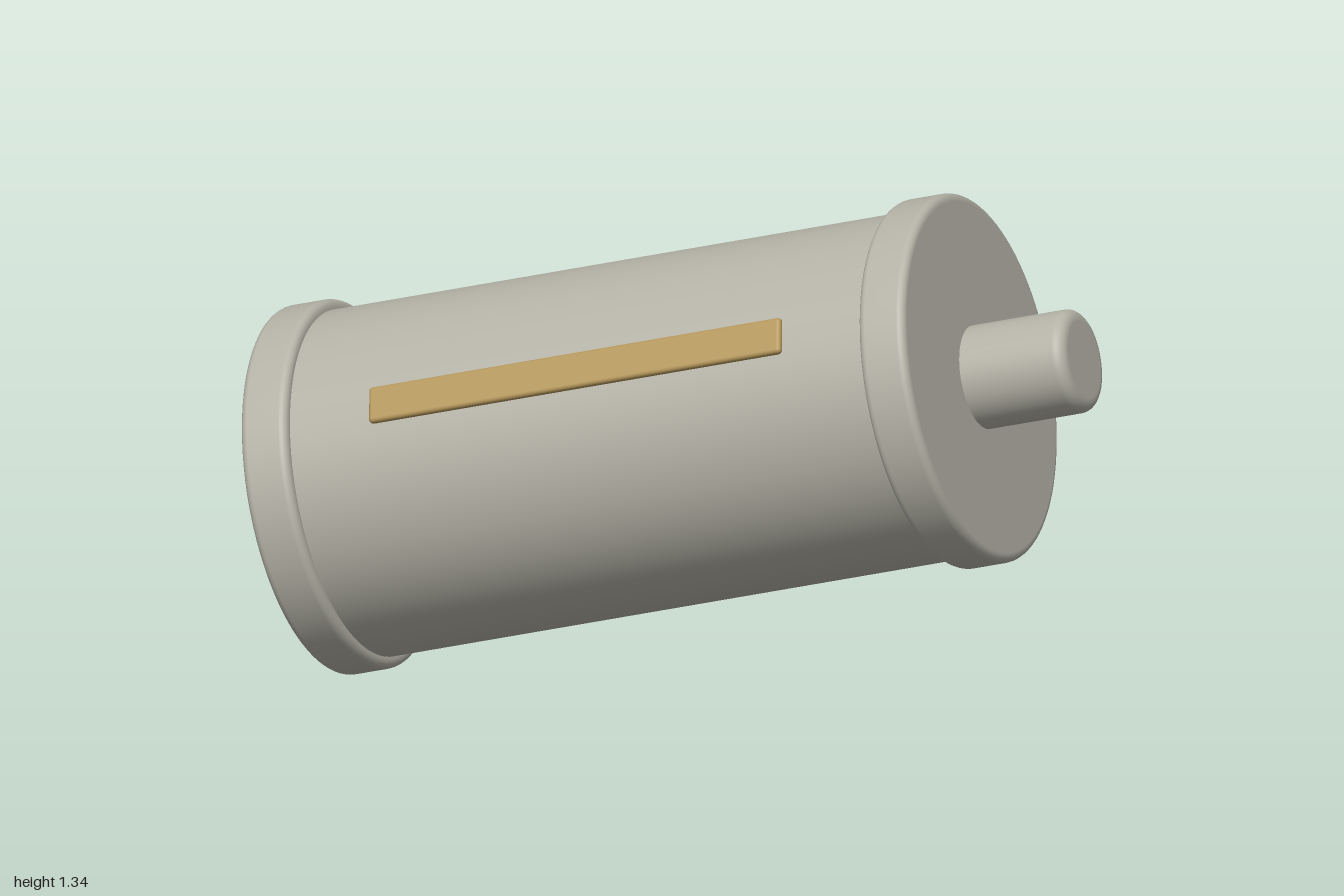
import * as THREE from 'three';
import { RoundedBoxGeometry } from 'three/addons/geometries/RoundedBoxGeometry.js';

// Disc around the y axis, centred on its height, with filleted rims
function filletedDisc(radius, height, fillet) {
  const h = height / 2;
  const rim = [];
  for (let i = 0; i <= 6; i++) {
    const a = (i / 6) * Math.PI / 2;
    rim.push([radius - fillet + fillet * Math.sin(a), h - fillet + fillet * Math.cos(a)]);
  }
  // short flat margins keep the faces evenly shaded
  const flat = [0, radius - fillet * 1.1];
  const points = [
    ...flat.map((r) => [r, -h]),
    ...rim.map(([r, y]) => [r, -y]),
    ...rim.reverse(),
    ...flat.reverse().map((r) => [r, h]),
  ].map(([r, y]) => new THREE.Vector2(r, y));
  return new THREE.LatheGeometry(points, 96);
}

export function createModel() {
  const model = new THREE.Group();
  model.name = 'tiltedCanister';

  const casing = new THREE.MeshStandardMaterial({ color: 0xb4b2a6 });
  casing.name = 'warm grey';
  const brass = new THREE.MeshStandardMaterial({ color: 0xb3965a });
  brass.name = 'brass';

  const canister = new THREE.Group();
  canister.name = 'canister';
  model.add(canister);

  const add = (name, geometry, material, y = 0, z = 0) => {
    const mesh = new THREE.Mesh(geometry, material);
    mesh.name = name;
    mesh.position.set(0, y, z);
    canister.add(mesh);
  };

  const capOffset = 0.84, capHeight = 0.125;

  // Main barrel
  add('body', new THREE.CylinderGeometry(0.435, 0.435, capOffset * 2, 96, 1, true), casing);

  // End caps
  add('lowerCap', filletedDisc(0.463, capHeight, 0.02), casing, -capOffset);
  add('upperCap', filletedDisc(0.463, capHeight, 0.02), casing, capOffset);

  // Knob on the upper cap, sunk slightly into it
  const knobLength = 0.28, sunk = 0.05;
  add('knob', filletedDisc(0.13, knobLength + sunk, 0.03), casing,
    capOffset + capHeight / 2 + (knobLength - sunk) / 2);

  // Strip along the side
  add('strip', new RoundedBoxGeometry(0.095, 1.12, 0.05, 3, 0.01), brass, 0, 0.422);

  // Lean the canister: its y follows the axis, its z points at the strip
  const axis = new THREE.Vector3(0.802, 0.25, -0.542).normalize();
  const out = new THREE.Vector3(0.343, 0.563, 0.752);
  out.addScaledVector(axis, -out.dot(axis)).normalize();
  const side = new THREE.Vector3().crossVectors(axis, out);
  canister.quaternion.setFromRotationMatrix(new THREE.Matrix4().makeBasis(side, axis, out));
  canister.position.set(-0.009, 0.67, 0);

  return model;
}
